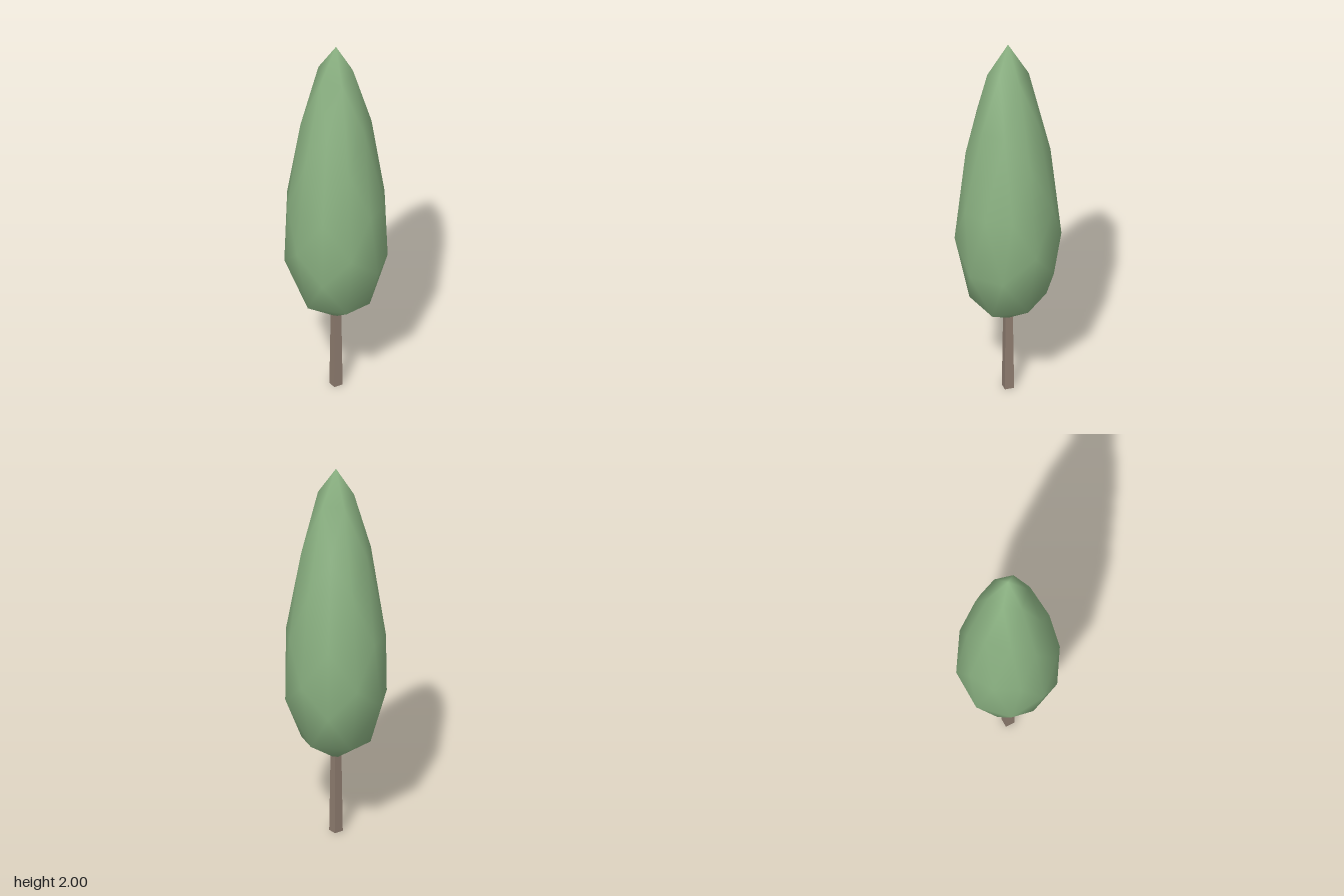
import * as THREE from 'three';
import { mergeVertices } from 'three/addons/utils/BufferGeometryUtils.js';

const BASE = 0.4, HEIGHT = 1.6, RADIUS = 0.25, TAPER = 0.37, SAG = 0.1;

// Low-poly ball stretched upward, narrow at the top and full near the bottom.
function foliageGeometry() {
  const ball = new THREE.IcosahedronGeometry(1, 1);
  ball.deleteAttribute('uv');
  ball.deleteAttribute('normal');
  const geometry = mergeVertices(ball, 1e-3);
  const pos = geometry.attributes.position;
  for (let i = 0; i < pos.count; i++) {
    const n = pos.getY(i);
    const r = RADIUS * (1 - TAPER * n);
    const y = BASE + HEIGHT * (n + 1) / 2 - SAG * (1 - Math.abs(n));
    pos.setXYZ(i, pos.getX(i) * r, y, pos.getZ(i) * r);
  }
  geometry.computeVertexNormals();
  return geometry;
}

export function createModel() {
  const tree = new THREE.Group();
  tree.name = 'cypressTree';

  const foliage = new THREE.Mesh(
    foliageGeometry(),
    new THREE.MeshStandardMaterial({ color: 0x8cb383 })
  );
  foliage.name = 'foliage';

  // Four-sided trunk with its corners on the axes, sunk into the foliage.
  const trunkHeight = 0.44;
  const trunk = new THREE.Mesh(
    new THREE.CylinderGeometry(0.027, 0.034, trunkHeight, 4),
    new THREE.MeshStandardMaterial({ color: 0x8f7d70, flatShading: true })
  );
  trunk.name = 'trunk';
  trunk.position.y = trunkHeight / 2;

  tree.add(foliage, trunk);
  return tree;
}
